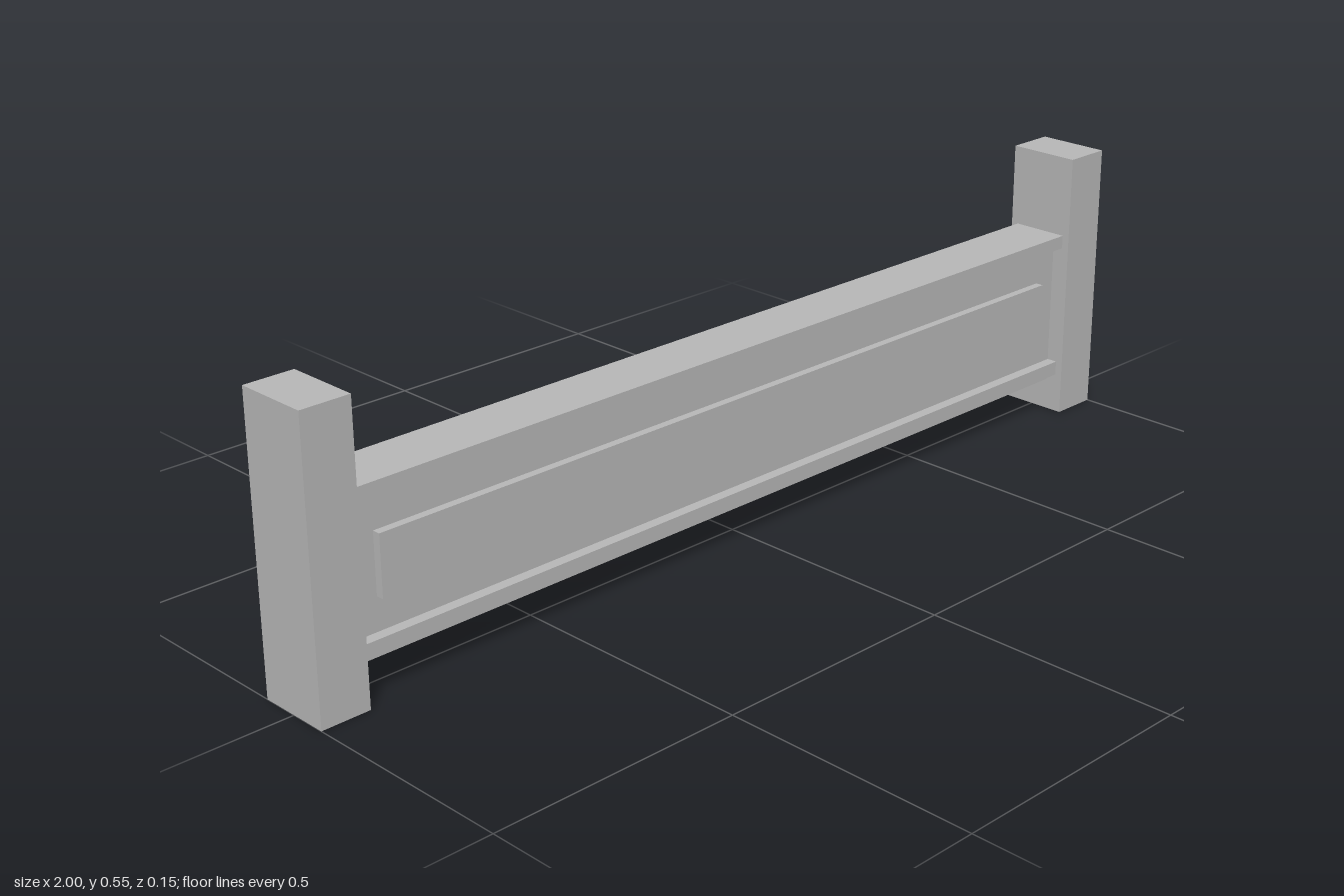
import * as THREE from 'three';

export function createModel() {
  const model = new THREE.Group();
  model.name = 'panelledBarrier';
  const grey = new THREE.MeshStandardMaterial({ color: 0xb8b8b8 });
  grey.name = 'light grey';

  // Box placed by its width, bottom, top, depth and centre x
  function block(name, width, bottom, top, depth, x = 0) {
    const mesh = new THREE.Mesh(new THREE.BoxGeometry(width, top - bottom, depth), grey);
    mesh.name = name;
    mesh.position.set(x, (bottom + top) / 2, 0);
    model.add(mesh);
  }

  // End posts
  block('leftPost', 0.098, 0, 0.552, 0.148, 0.951);
  block('rightPost', 0.098, 0, 0.552, 0.148, -0.951);

  // Board spanning the posts, with rails and a raised panel on both faces
  block('board', 1.804, 0.065, 0.375, 0.074);
  block('topRail', 1.804, 0.36, 0.387, 0.118);
  block('bottomRail', 1.804, 0.081, 0.11, 0.118);
  block('raisedPanel', 1.7, 0.174, 0.291, 0.106);

  return model;
}
